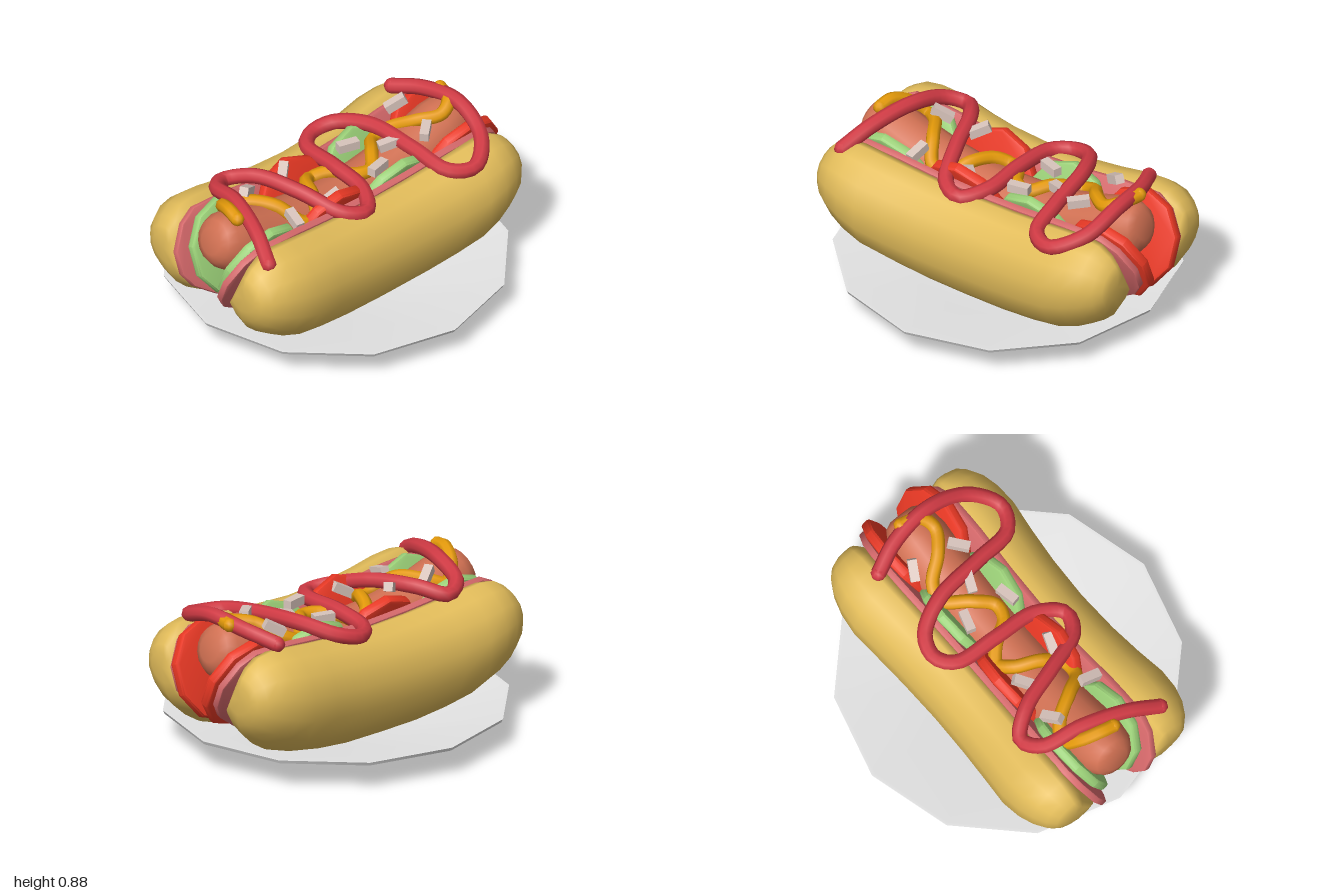
import * as THREE from 'three';
import { toCreasedNormals } from 'three/addons/utils/BufferGeometryUtils.js';

const mat = (name, color) => Object.assign(new THREE.MeshStandardMaterial({ color }), { name });
const V = (x, y, z) => new THREE.Vector3(x, y, z);

// Skin over rings of points (counter-clockwise seen from +z, ordered along +z), closed at both ends
function loft(rings) {
  const n = rings[0].length, pos = [], idx = [];
  rings.forEach(r => r.forEach(p => pos.push(p.x, p.y, p.z)));
  for (let i = 0; i < rings.length - 1; i++)
    for (let j = 0; j < n; j++) {
      const a = i * n + j, b = i * n + (j + 1) % n;
      idx.push(a, b, a + n, b, b + n, a + n);
    }
  for (const end of [0, rings.length - 1]) {
    const c = rings[end].reduce((s, p) => s.add(p), V(0, 0, 0)).divideScalar(n);
    const k = pos.length / 3;
    pos.push(c.x, c.y, c.z);
    for (let j = 0; j < n; j++) {
      const a = end * n + j, b = end * n + (j + 1) % n;
      if (end) idx.push(k, a, b); else idx.push(k, b, a);
    }
  }
  const g = new THREE.BufferGeometry();
  g.setAttribute('position', new THREE.Float32BufferAttribute(pos, 3));
  g.setIndex(idx);
  g.computeVertexNormals();
  return g;
}

export function createModel() {
  const model = new THREE.Group();
  const bread = mat('bread', 0xe2bc5a), meat = mat('sausage', 0xd07052), ham = mat('ham', 0xd4686a);
  const green = mat('cucumber', 0x9acf77), red = mat('tomato', 0xe83824), ketchup = mat('ketchup', 0xd03a44);
  const mustard = mat('mustard', 0xe3990a), onion = mat('onion', 0xd8c4bc), china = mat('plate', 0xe4e4e4);
  const add = (name, geometry, material) => {
    const m = new THREE.Mesh(geometry, material);
    m.name = name;
    model.add(m);
    return m;
  };

  // Twelve-sided plate with a foot ring
  const plateProfile = [[0, 0.05], [0.45, 0.05], [0.46, 0], [0.49, 0], [0.49, 0.065], [0.93, 0.15],
    [0.94, 0.17], [0.92, 0.17], [0.5, 0.09], [0, 0.085]].map(p => new THREE.Vector2(...p));
  const plate = new THREE.LatheGeometry(plateProfile, 12);
  plate.translate(0, 0, 0.015);
  add('plate', toCreasedNormals(plate, 0.6), china);

  // Two bun halves, upturned and rounded at the ends
  const bunSection = [[0.07, 0.17], [0.13, 0.09], [0.24, 0.03], [0.36, 0.08], [0.45, 0.17], [0.505, 0.3],
    [0.51, 0.44], [0.47, 0.56], [0.39, 0.64], [0.3, 0.672], [0.25, 0.655], [0.2, 0.53], [0.135, 0.35]];
  const bunStations = [[0, 1], [0.25, 1], [0.45, 0.99], [0.62, 0.965], [0.74, 0.9], [0.83, 0.79], [0.9, 0.62],
    [0.94, 0.44], [0.957, 0.26]];
  const bothEnds = list => [...list.slice(1).reverse().map(([z, s]) => [-z, s]), ...list];
  for (const side of [1, -1]) {
    const rings = bothEnds(bunStations).map(([z, s]) => {
      const rise = Math.min(1, (z / 0.8) ** 2) * 0.1;
      const out = Math.min(1, (z / 0.65) ** 2) * 0.055;
      const ring = bunSection.map(([x, y]) => V(side * (0.285 + (x - 0.285) * s + out * (x - 0.07) / 0.44),
        0.42 + (y - 0.42) * s + rise, z + 0.015));
      return side > 0 ? ring : ring.reverse();
    });
    add(side > 0 ? 'leftBun' : 'rightBun', loft(rings), bread);
  }

  // Sausage, sagging in the middle
  const sausageY = z => 0.485 + 0.185 * (z / 0.85) ** 2;
  const sausageStations = [[0, 1], [0.2, 1], [0.4, 1], [0.6, 1], [0.74, 0.98], [0.83, 0.87], [0.88, 0.68], [0.9, 0.42]];
  add('sausage', loft(bothEnds(sausageStations).map(([z, s]) =>
    Array.from({ length: 16 }, (_, i) => {
      const a = i / 16 * Math.PI * 2, c = Math.cos(a), h = Math.sin(a);
      const tilt = z * 0.35 * h * 0.17 * s;
      return V(0.17 * s * c, sausageY(z) + 0.17 * s * h, z - tilt + 0.02);
    }))), meat);

  // Thin slab leaning outward against a bun half: outline x runs along z, y runs up the slope
  function slab(name, outline, thick, bevel, side, x, y, z, material) {
    const lean = 0.37;
    const g = new THREE.ExtrudeGeometry(new THREE.Shape(outline), {
      depth: thick - 2 * bevel, bevelThickness: bevel, bevelSize: bevel, bevelOffset: -bevel, bevelSegments: 2 });
    g.translate(0, 0, bevel - thick / 2);
    const along = V(0, 0, 1), up = V(side * Math.sin(lean), Math.cos(lean), 0);
    g.applyMatrix4(new THREE.Matrix4().makeBasis(along, up, along.clone().cross(up)));
    g.translate(side * x, y, z);
    add(name, toCreasedNormals(g, 0.7), material);
  }
  const hamHalf = [[0.3, 0], [0.6, 0.02], [0.8, 0.09], [0.93, 0.19], [0.985, 0.28], [0.985, 0.41], [0.9, 0.54],
    [0.8, 0.595], [0.55, 0.585], [0.28, 0.555]];
  const hamOutline = [...hamHalf, [0, 0.54], ...hamHalf.map(([z, v]) => [-z, v]).reverse()]
    .map(p => new THREE.Vector2(...p));
  const disc = (rz, ry) => Array.from({ length: 10 }, (_, i) => {
    const a = (i + 0.5) / 10 * Math.PI * 2;
    return new THREE.Vector2(rz * Math.cos(a) / Math.cos(Math.PI / 10), ry * Math.sin(a));
  });
  for (const side of [1, -1]) {
    slab('hamSlice', hamOutline, 0.04, 0.008, side, 0.048, 0.17, 0.012, ham);
    for (const [z, y] of [[-0.75, 0.505], [0.19, 0.505]])
      slab('tomatoSlice', disc(0.25, 0.28), 0.065, 0.018, side, 0.12, y, z, red);
    for (const [z, y] of [[-0.28, 0.488], [0.68, 0.5]])
      slab('cucumberSlice', disc(0.25, 0.275), 0.06, 0.018, side, 0.117, y, z, green);
  }

  // Sauce strings with rounded ends
  function sauce(name, points, radius, material) {
    const path = new THREE.CatmullRomCurve3(points);
    add(name, new THREE.TubeGeometry(path, 110, radius, 8), material);
    for (const p of [points[0], points[points.length - 1]])
      add(name + 'End', new THREE.SphereGeometry(radius, 8, 6), material).position.copy(p);
  }
  sauce('ketchup', [[-0.32, 0.76, -0.68], [-0.15, 0.805, -0.75], [0.1, 0.83, -0.78], [0.33, 0.75, -0.73],
    [0.445, 0.685, -0.58], [0.38, 0.69, -0.45], [0.15, 0.73, -0.41], [-0.15, 0.75, -0.37], [-0.34, 0.71, -0.27],
    [-0.375, 0.68, -0.15], [-0.3, 0.68, -0.05], [-0.05, 0.7, -0.02], [0.2, 0.685, 0], [0.33, 0.665, 0.1],
    [0.28, 0.685, 0.22], [0.05, 0.75, 0.32], [-0.2, 0.765, 0.41], [-0.33, 0.73, 0.52], [-0.27, 0.76, 0.63],
    [-0.05, 0.815, 0.69], [0.2, 0.78, 0.77], [0.37, 0.7, 0.84]].map(p => V(...p)), 0.043, ketchup);
  const onSausage = (x, z) => sausageY(z) + Math.sqrt(0.04 - x * x) - 0.01;
  sauce('mustard', [[-0.07, -0.8], [0.04, -0.76], [0.07, -0.68], [0, -0.57], [-0.12, -0.47], [-0.14, -0.38],
    [-0.02, -0.26], [0.07, -0.17], [0.05, -0.08], [-0.07, 0], [-0.13, 0.08], [-0.08, 0.16], [0.05, 0.23],
    [0.15, 0.3], [0.15, 0.4], [0.04, 0.48], [-0.1, 0.57], [-0.16, 0.66], [-0.1, 0.74], [0, 0.785], [0.08, 0.8]]
    .map(([x, z]) => V(x, onSausage(x, z), z)), 0.038, mustard);

  // Chopped onion: x, y, z, heading, pitch
  for (const [x, y, z, turn, pitch] of [[-0.17, 0.78, -0.57, -0.5, 0.5], [0.11, 0.77, -0.53, 0.7, 0.1],
    [0.03, 0.735, -0.34, -0.4, 0.2], [-0.12, 0.72, -0.18, -0.3, 0], [0.14, 0.725, -0.16, 0.2, 0],
    [-0.12, 0.77, 0.29, 0.7, 0.4], [0.15, 0.7, 0.19, -0.3, 0.5], [-0.13, 0.77, 0.54, 0.5, -0.5],
    [0.18, 0.72, 0.48, 1.4, 0.3]]) {
    const bit = add('onionBit', new THREE.BoxGeometry(0.05, 0.05, 0.12), onion);
    bit.position.set(x, y, z);
    bit.rotation.set(pitch, turn, 0, 'YXZ');
  }
  return model;
}
